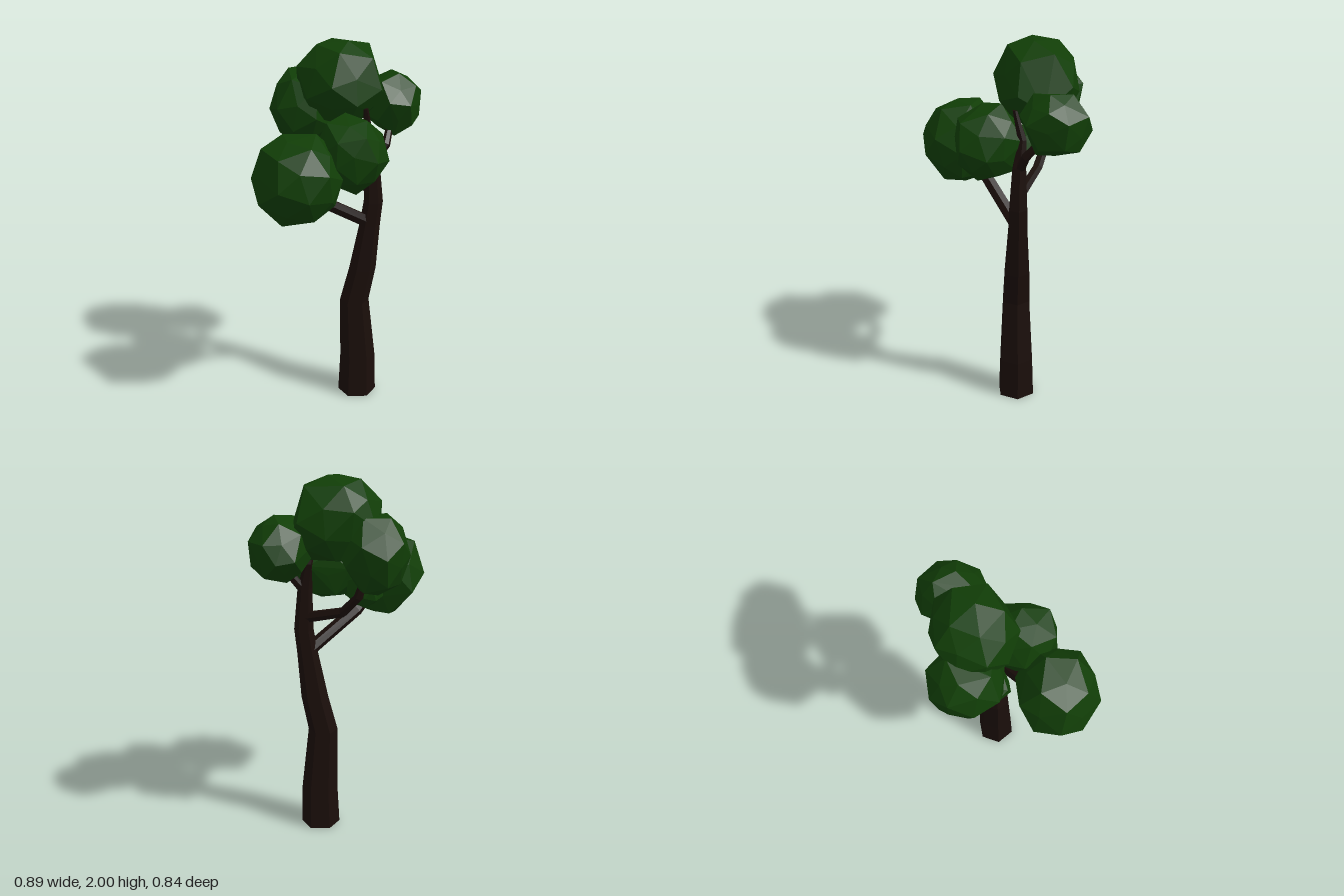
import * as THREE from 'three';
import { ConvexGeometry } from 'three/addons/geometries/ConvexGeometry.js';

const bark = new THREE.MeshStandardMaterial({ color: 0x1a0e0a, flatShading: true });
const leaf = new THREE.MeshStandardMaterial({ color: 0x113e07, flatShading: true });
const UP = new THREE.Vector3(0, 1, 0);
const SIDES = 6;

// Tapered six-sided limb through [x, y, z, radius] stations
function limb(name, stations, levelRings = false) {
  const pts = stations.map(([x, y, z]) => new THREE.Vector3(x, y, z));
  const rings = stations.map((s, i) => {
    const dir = pts[Math.min(i + 1, pts.length - 1)].clone().sub(pts[Math.max(i - 1, 0)]).normalize();
    const turn = new THREE.Quaternion();
    if (!levelRings) turn.setFromUnitVectors(UP, dir);
    return Array.from({ length: SIDES }, (_, k) => {
      const a = (k / SIDES) * Math.PI * 2;
      return new THREE.Vector3(Math.cos(a) * s[3], 0, Math.sin(a) * s[3]).applyQuaternion(turn).add(pts[i]);
    });
  });
  const tris = [];
  const last = rings.length - 1;
  for (let k = 0; k < SIDES; k++) {
    const n = (k + 1) % SIDES;
    for (let i = 0; i < last; i++) {
      const lo = rings[i], hi = rings[i + 1];
      tris.push(lo[k], hi[k], lo[n], lo[n], hi[k], hi[n]);
    }
    tris.push(pts[0], rings[0][k], rings[0][n]);
    tris.push(pts[last], rings[last][n], rings[last][k]);
  }
  const geo = new THREE.BufferGeometry().setFromPoints(tris);
  geo.computeVertexNormals();
  const mesh = new THREE.Mesh(geo, bark);
  mesh.name = name;
  return mesh;
}

// Distinct corners of a polyhedron, scaled to a radius
function cornersOf(geometry, radius) {
  const pos = geometry.getAttribute('position');
  const corners = new Map();
  for (let i = 0; i < pos.count; i++) {
    const v = new THREE.Vector3().fromBufferAttribute(pos, i);
    corners.set(v.toArray().map(c => Math.round(c * 100) + 0).join(), v.multiplyScalar(radius));
  }
  return [...corners.values()];
}

// Faceted leaf clump: an uneven dodecahedron with raised faces, fitted to a box
function clump(name, min, max, seed) {
  let state = seed * 7919;
  const rand = () => (state = (state * 16807) % 2147483647) / 2147483647 - 0.5;
  const spin = new THREE.Euler(seed * 0.7, seed * 1.3, seed * 0.4);
  // The quarter turn puts each icosahedron corner over a dodecahedron face
  const pts = [
    ...cornersOf(new THREE.DodecahedronGeometry(1), 1),
    ...cornersOf(new THREE.IcosahedronGeometry(1).rotateX(Math.PI / 2), 0.92),
  ].map(v => v.add(new THREE.Vector3(rand(), rand(), rand()).multiplyScalar(0.13)).applyEuler(spin));
  const geo = new ConvexGeometry(pts);
  geo.center();
  const size = geo.boundingBox.getSize(new THREE.Vector3());
  geo.scale(...[0, 1, 2].map(i => (max[i] - min[i]) / size.getComponent(i)));
  geo.computeVertexNormals();
  const mesh = new THREE.Mesh(geo, leaf);
  mesh.position.set(...min.map((m, i) => (m + max[i]) / 2));
  mesh.name = name;
  return mesh;
}

export function createModel() {
  const tree = new THREE.Group();
  tree.name = 'tree';

  // Bent trunk, thinning to a tip inside the crown
  tree.add(limb('trunk', [
    [0.103, 0, -0.05, 0.104], [0.106, 0.22, -0.05, 0.096], [0.087, 0.57, -0.05, 0.078],
    [0.13, 0.76, -0.05, 0.072], [0.167, 1.02, -0.05, 0.055], [0.185, 1.15, -0.05, 0.051],
    [0.177, 1.38, -0.055, 0.038], [0.155, 1.52, -0.07, 0.026], [0.14, 1.67, -0.035, 0.013],
  ], true));

  // Branches
  tree.add(limb('frontBranch', [
    [0.16, 1.03, -0.05, 0.036], [-0.09, 1.21, 0.09, 0.034], [-0.18, 1.3, 0.16, 0.025],
  ]));
  tree.add(limb('backBranch', [
    [0.17, 1.22, -0.06, 0.03], [-0.02, 1.29, -0.17, 0.027],
    [-0.1, 1.39, -0.22, 0.024], [-0.15, 1.55, -0.23, 0.016],
  ]));
  tree.add(limb('sideBranch', [
    [0.175, 1.36, -0.055, 0.027], [0.25, 1.46, -0.08, 0.023], [0.29, 1.6, -0.19, 0.015],
  ]));

  // Leaf clumps
  const clumps = [
    ['topLeaves', [-0.215, 1.57, -0.37], [0.25, 2, 0.06]],
    ['backLeaves', [-0.36, 1.42, -0.42], [0.01, 1.83, -0.03]],
    ['sideLeaves', [0.125, 1.48, -0.405], [0.445, 1.81, -0.045]],
    ['frontLeaves', [-0.45, 1.14, 0.01], [0.015, 1.61, 0.42]],
    ['middleLeaves', [-0.12, 1.27, -0.085], [0.255, 1.67, 0.265]],
    ['smallLeaves', [-0.23, 1.3, -0.19], [-0.04, 1.49, -0.01]],
  ];
  clumps.forEach(([name, min, max], i) => tree.add(clump(name, min, max, i + 1)));
  return tree;
}
